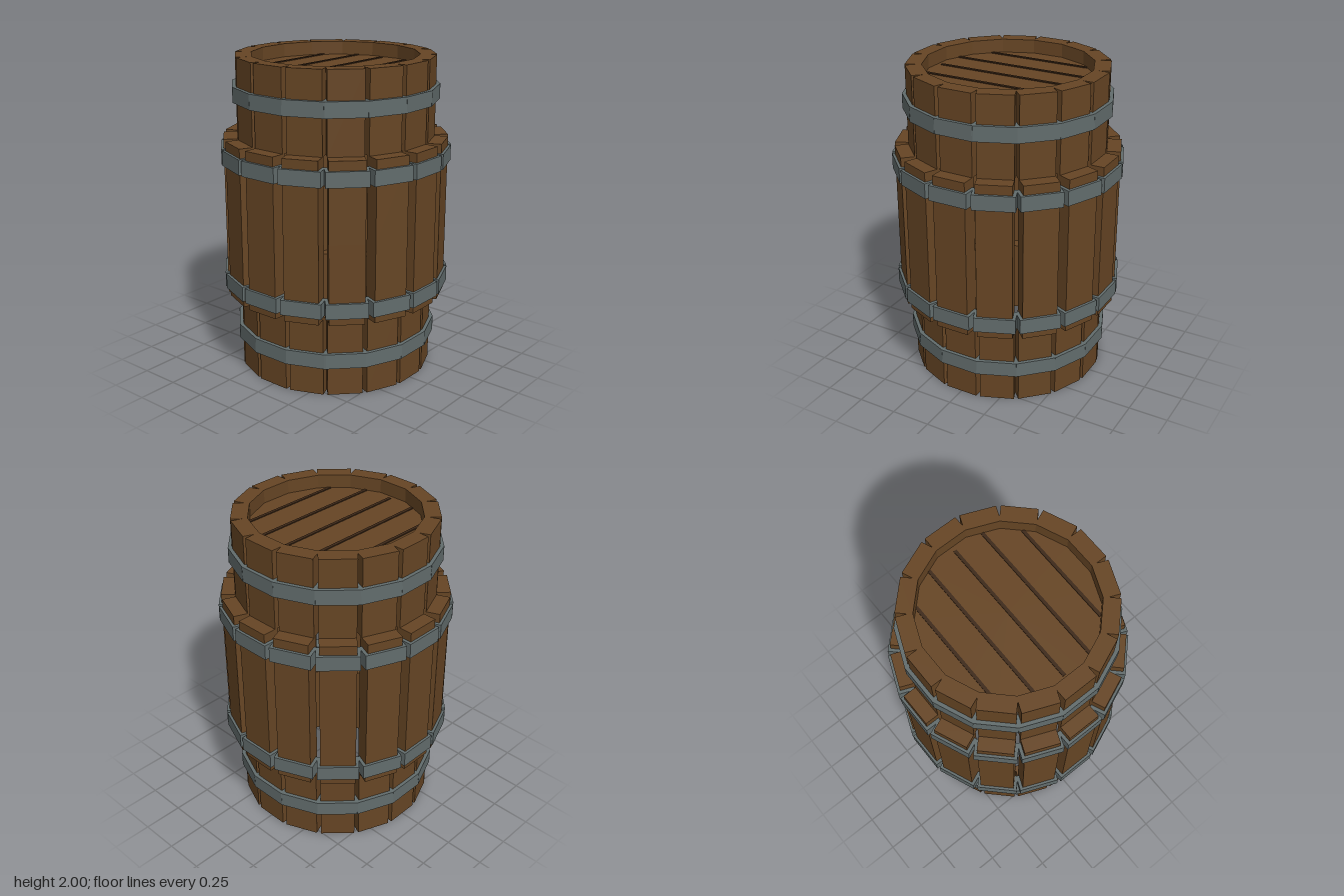
import * as THREE from 'three';

const SIDES = 16;

export function createModel() {
  const wood = new THREE.MeshStandardMaterial({ color: 0x664524 });
  const iron = new THREE.MeshStandardMaterial({ color: 0x626c6c });
  const seam = new THREE.MeshStandardMaterial({ color: 0x3d2817 });
  wood.name = 'wood';
  iron.name = 'iron';
  seam.name = 'darkSeam';

  const barrel = new THREE.Group();
  barrel.name = 'barrel';

  // A ring of boxes facing outwards, between two radii and two heights
  function addRing(name, material, inner, outer, width, bottom, top) {
    const ring = new THREE.Group();
    ring.name = name + 'Ring';
    const geometry = new THREE.BoxGeometry(width, top - bottom, outer - inner);
    geometry.translate(0, (top + bottom) / 2, (inner + outer) / 2);
    for (let i = 0; i < SIDES; i++) {
      const piece = new THREE.Mesh(geometry, material);
      piece.name = name;
      piece.rotation.y = (i / SIDES) * Math.PI * 2;
      ring.add(piece);
    }
    barrel.add(ring);
  }

  // Staves: narrow ends, wide belly in two halves
  addRing('bottomStave', wood, 0.51, 0.61, 0.215, 0, 0.5);
  addRing('lowerBellyStave', wood, 0.59, 0.695, 0.215, 0.5, 1);
  addRing('upperBellyStave', wood, 0.59, 0.695, 0.215, 1, 1.5);
  addRing('topStave', wood, 0.51, 0.61, 0.215, 1.5, 2);

  // Iron hoops
  addRing('bottomHoop', iron, 0.53, 0.632, 0.255, 0.185, 0.28);
  addRing('lowerBellyHoop', iron, 0.61, 0.711, 0.255, 0.545, 0.64);
  addRing('upperBellyHoop', iron, 0.61, 0.711, 0.255, 1.347, 1.442);
  addRing('topHoop', iron, 0.53, 0.632, 0.255, 1.728, 1.823);

  // Recessed lid
  const lid = new THREE.Mesh(new THREE.CylinderGeometry(0.52, 0.52, 0.05, 32), wood);
  lid.name = 'lid';
  lid.position.y = 1.89;
  barrel.add(lid);

  // Seams between the lid planks
  for (const [x, length] of [[-0.38, 0.68], [-0.19, 0.94], [0, 0.96], [0.19, 0.94], [0.38, 0.68]]) {
    const strip = new THREE.Mesh(new THREE.BoxGeometry(0.02, 0.008, length), seam);
    strip.name = 'lidSeam';
    strip.position.set(x, 1.917, 0);
    barrel.add(strip);
  }
  return barrel;
}
